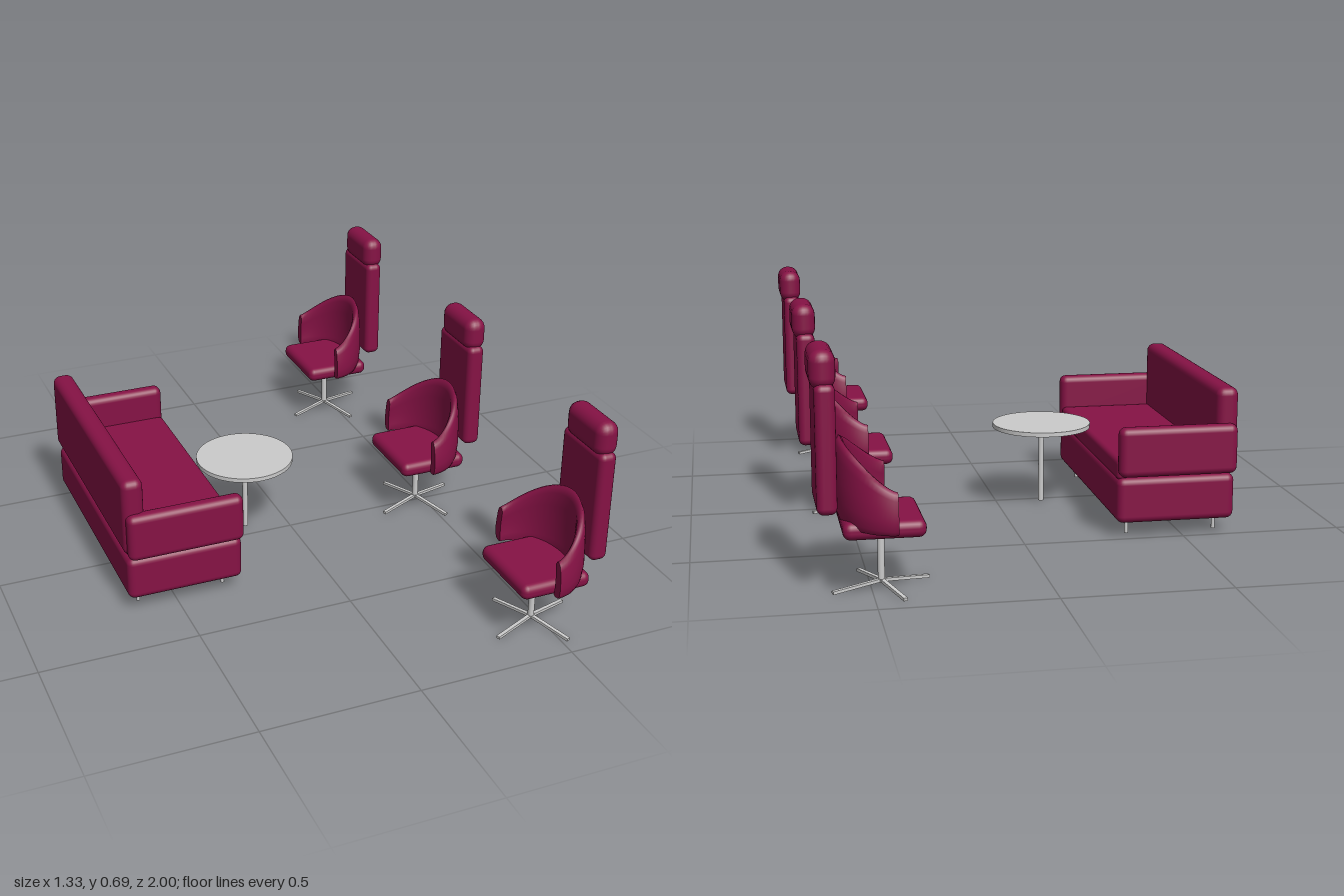
import * as THREE from 'three';
import { RoundedBoxGeometry } from 'three/addons/geometries/RoundedBoxGeometry.js';

const fabric = new THREE.MeshStandardMaterial({ color: 0x861245 });
const metal = new THREE.MeshStandardMaterial({ color: 0xcccccc });

function add(parent, name, geometry, material, x, y, z) {
  const mesh = new THREE.Mesh(geometry, material);
  mesh.name = name;
  mesh.position.set(x, y, z);
  parent.add(mesh);
  return mesh;
}

// Upholstered block given by its [min, max] range on each axis
function cushion(parent, name, [x0, x1], [y0, y1], [z0, z1], radius) {
  const geometry = new RoundedBoxGeometry(x1 - x0, y1 - y0, z1 - z0, 3, radius);
  return add(parent, name, geometry, fabric, (x0 + x1) / 2, (y0 + y1) / 2, (z0 + z1) / 2);
}

function post(parent, name, radius, y0, y1, x, z) {
  return add(parent, name, new THREE.CylinderGeometry(radius, radius, y1 - y0, 16), metal, x, (y0 + y1) / 2, z);
}

function createSofa() {
  const sofa = new THREE.Group();
  sofa.name = 'sofa';
  cushion(sofa, 'sofaBase', [-0.66, -0.288], [0.052, 0.195], [-0.41, 0.41], 0.022);
  cushion(sofa, 'sofaSeat', [-0.62, -0.29], [0.185, 0.25], [-0.392, 0.392], 0.015);
  cushion(sofa, 'sofaBack', [-0.667, -0.598], [0.208, 0.466], [-0.41, 0.41], 0.025);
  for (const side of [-1, 1]) {
    const z = [0.385 * side, 0.437 * side].sort((a, b) => a - b);
    cushion(sofa, 'sofaArm', [-0.66, -0.288], [0.202, 0.357], z, 0.022);
    for (const x of [-0.615, -0.334]) post(sofa, 'sofaLeg', 0.006, 0.005, 0.06, x, 0.34 * side);
  }
  sofa.position.z = -0.096;
  return sofa;
}

function createTable() {
  const table = new THREE.Group();
  table.name = 'table';
  add(table, 'tableTop', new THREE.CylinderGeometry(0.16, 0.16, 0.014, 64), metal, 0, 0.271, 0);
  post(table, 'tableColumn', 0.009, 0.012, 0.266, 0, 0);
  table.position.set(-0.144, 0, -0.049);
  return table;
}

// Curved tub: a bulging wall section swept round half an ellipse, its rim rising to the back
function shellGeometry() {
  // [inset from outer ellipse, height fraction] round the wall section
  const section = [
    [0.026, 0], [0.01, 0.02], [0.003, 0.12], [0, 0.32], [0.003, 0.55], [0.008, 0.8], [0.013, 0.93],
    [0.021, 1], [0.03, 0.98], [0.036, 0.9], [0.033, 0.7], [0.03, 0.45], [0.031, 0.2], [0.034, 0.03],
  ];
  const steps = 40, n = section.length, positions = [], indices = [];
  for (let i = 0; i <= steps; i++) {
    const angle = (i / steps - 0.5) * Math.PI;
    const depth = Math.max(0, Math.cos(angle));
    const height = 0.12 + 0.118 * Math.pow(depth, 1.4);
    for (const [inset, v] of section) {
      const lean = 0.012 * v * depth;
      positions.push(
        0.44 + (0.153 - inset + lean) * depth,
        0.2 + height * v,
        (0.195 - inset) * Math.sin(angle)
      );
    }
  }
  for (let i = 0; i < steps; i++) {
    for (let j = 0; j < n; j++) {
      const a = i * n + j, b = i * n + (j + 1) % n;
      indices.push(a, b, a + n, b, b + n, a + n);
    }
  }
  // Flat front tips with their own vertices
  for (const i of [0, steps]) {
    const start = positions.length / 3;
    for (let j = 0; j < n; j++) positions.push(...positions.slice((i * n + j) * 3, (i * n + j) * 3 + 3));
    const outline = section.map(([inset, v]) => new THREE.Vector2(inset, v));
    for (const [a, b, c] of THREE.ShapeUtils.triangulateShape(outline, [])) {
      if (i === 0) indices.push(start + a, start + c, start + b);
      else indices.push(start + a, start + b, start + c);
    }
  }
  const geometry = new THREE.BufferGeometry();
  geometry.setAttribute('position', new THREE.Float32BufferAttribute(positions, 3));
  geometry.setIndex(indices);
  geometry.computeVertexNormals();
  return geometry;
}

function createChair() {
  const chair = new THREE.Group();
  chair.name = 'chair';
  cushion(chair, 'chairSeat', [0.356, 0.585], [0.176, 0.226], [-0.135, 0.135], 0.022);
  const shell = add(chair, 'chairShell', shellGeometry(), fabric.clone(), 0, 0, 0);
  shell.material.side = THREE.DoubleSide;
  cushion(chair, 'chairBack', [0.595, 0.652], [0.243, 0.603], [-0.11, 0.11], 0.02);
  cushion(chair, 'headrest', [0.591, 0.664], [0.584, 0.694], [-0.1, 0.1], 0.034);
  post(chair, 'chairColumn', 0.01, 0.015, 0.18, 0.47, 0);

  // Four sloping spokes
  for (let i = 0; i < 4; i++) {
    const arm = new THREE.Group();
    arm.name = 'chairFoot';
    arm.position.set(0.47, 0.021, 0);
    arm.rotation.y = THREE.MathUtils.degToRad(20 + 90 * i);
    const spoke = add(arm, 'spoke', new THREE.BoxGeometry(0.15, 0.009, 0.012), metal, 0.075, -0.006, 0);
    spoke.rotation.z = -0.09;
    chair.add(arm);
  }
  return chair;
}

export function createModel() {
  const model = new THREE.Group();
  model.name = 'loungeSet';
  model.add(createSofa(), createTable());
  for (const z of [-0.805, 0, 0.805]) {
    const chair = createChair();
    chair.position.z = z;
    model.add(chair);
  }
  return model;
}
